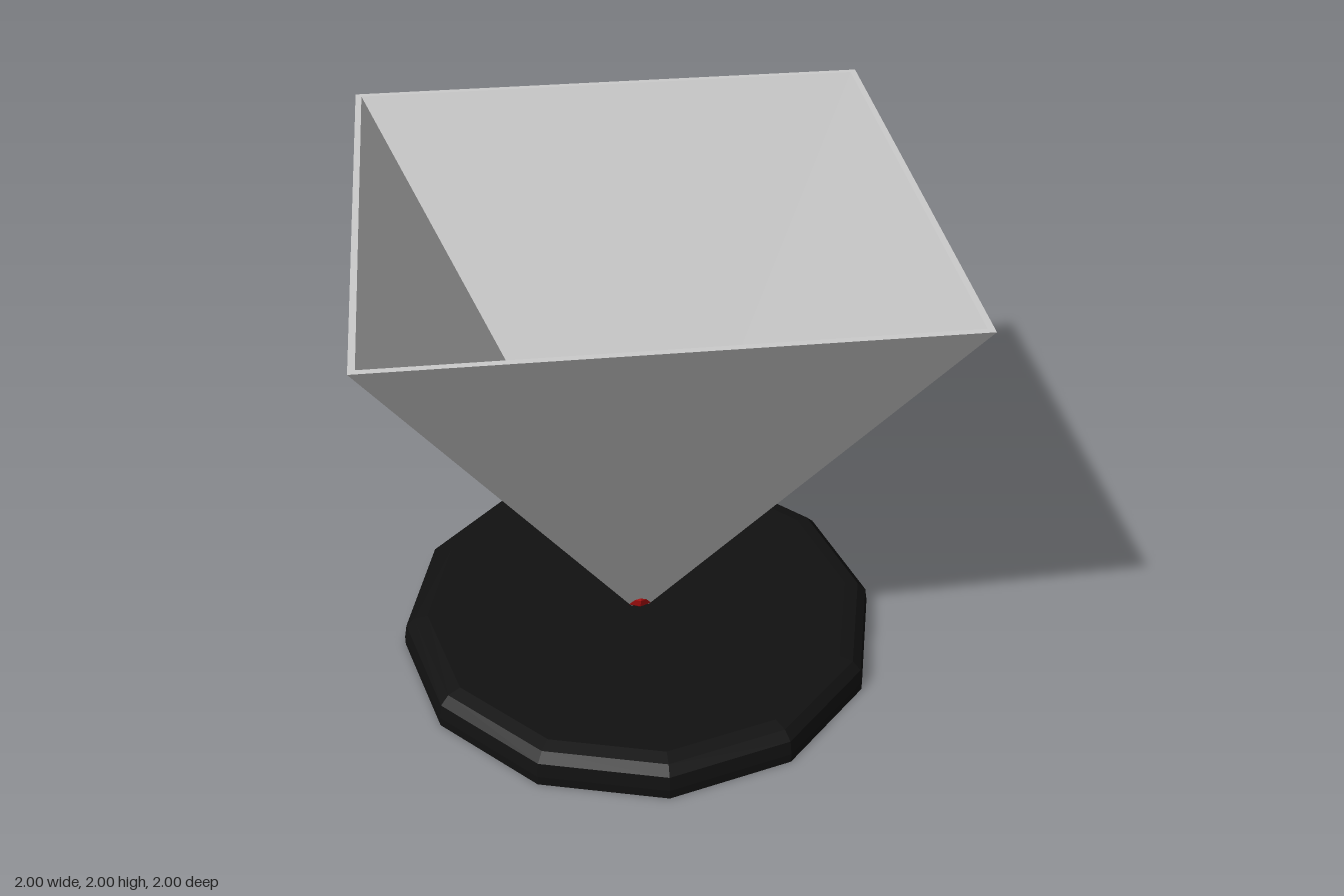
import * as THREE from 'three';

// Low-poly turned part from [radius, height] points, listed from the bottom up the outside
function turned(name, points, sides, start, material) {
  const profile = points.map(([r, y]) => new THREE.Vector2(r, y));
  const mesh = new THREE.Mesh(new THREE.LatheGeometry(profile, sides, start), material);
  mesh.name = name;
  return mesh;
}

export function createModel() {
  const model = new THREE.Group();
  model.name = 'funnelOnBase';
  const flat = (color) => new THREE.MeshStandardMaterial({ color, flatShading: true });

  // Twelve-sided black base with a rounded top edge
  model.add(turned('base', [
    [0, 0], [0.97, 0], [0.97, 0.04], [0.96, 0.1], [0.925, 0.135], [0.87, 0.145], [0, 0.145],
  ], 12, 0, flat(0x111111)));

  // Hollow inverted square pyramid: outer walls, narrow rim, inner walls
  const corner = Math.SQRT2;
  model.add(turned('funnel', [
    [0, 0.075], [corner, 2], [0.977 * corner, 2], [0, 0.12],
  ], 4, Math.PI / 4, flat(0xcccccc)));

  // Small red ball that pokes through the walls at the tip
  const ball = new THREE.Mesh(new THREE.SphereGeometry(0.072, 8, 6), flat(0xb01010));
  ball.name = 'tipBall';
  ball.position.y = 0.195;
  model.add(ball);

  return model;
}
